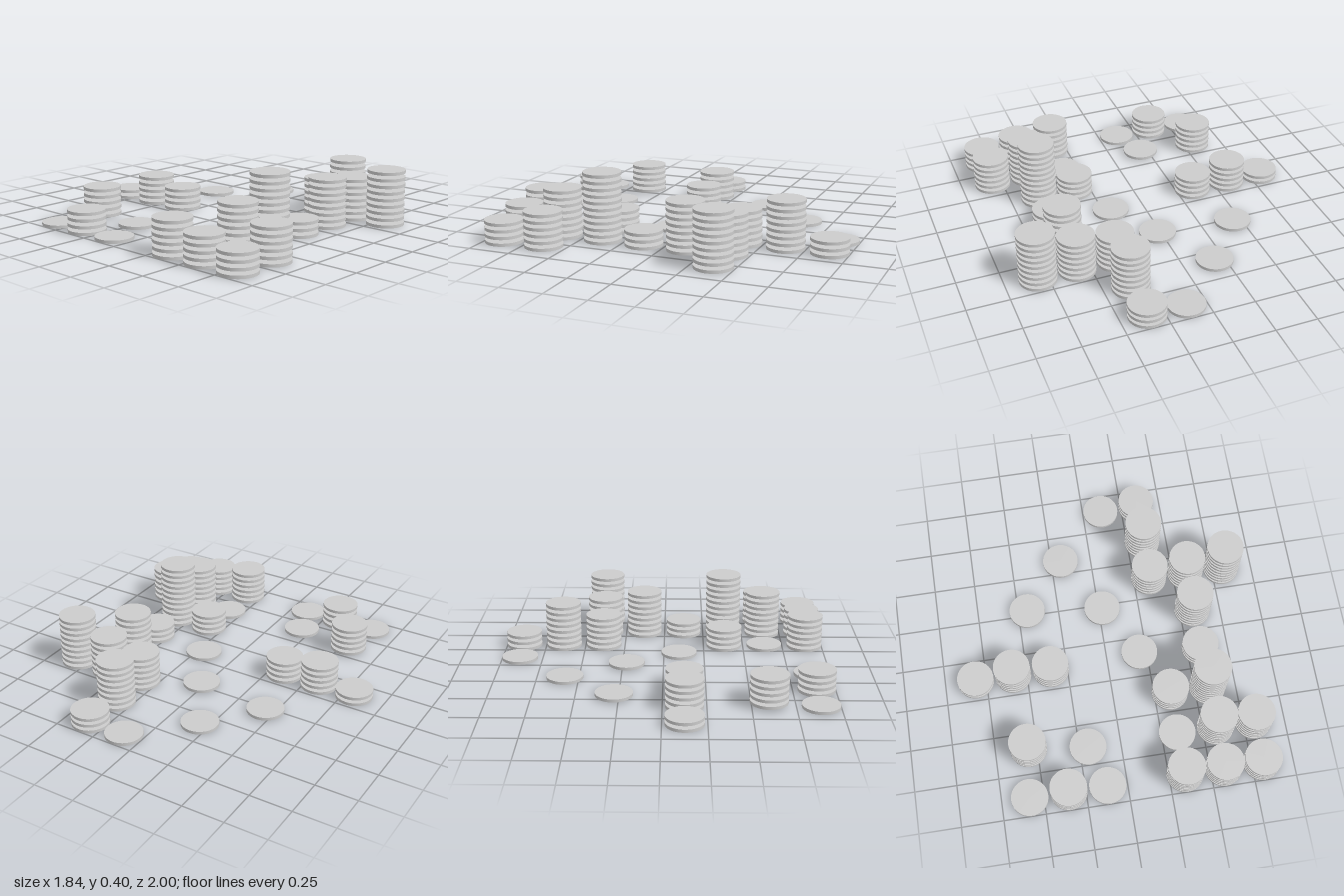
import * as THREE from 'three';

const RADIUS = 0.11, THICK = 0.018, PITCH = 0.0385;

export function createModel() {
  const model = new THREE.Group();
  const material = new THREE.MeshStandardMaterial({ color: 0xcccccc });
  const disc = new THREE.CylinderGeometry(RADIUS, RADIUS, THICK, 48);
  disc.translate(0, THICK / 2, 0);

  // A column of evenly spaced discs
  function addStack(name, x, z, count, lift = 0) {
    const stack = new THREE.Group();
    stack.name = name;
    for (let i = 0; i < count; i++) {
      const mesh = new THREE.Mesh(disc, material);
      mesh.name = 'disc';
      mesh.position.y = i * PITCH;
      stack.add(mesh);
    }
    stack.position.set(x, lift, z);
    model.add(stack);
  }

  // Stacks in straight rows: z, then pairs of x and disc count
  const rows = [
    [-0.89, [0.115, 1], [0.345, 3]],
    [-0.637, [0.345, 8]],
    [-0.383, [0.345, 6], [0.577, 7], [0.808, 9]],
    [-0.13, [0.577, 8]],
    [0.125, [-0.813, 2], [-0.583, 5], [-0.35, 4], [0.577, 3]],
    [0.38, [0.345, 4], [0.577, 11]],
    [0.635, [0.345, 1], [0.577, 8], [0.808, 6]],
    [0.89, [-0.583, 1], [-0.35, 4], [-0.118, 1], [0.345, 6], [0.577, 5], [0.808, 4]],
  ];
  for (const [z, ...stacks] of rows)
    for (const [x, count] of stacks) addStack('rowStack', x, z, count);

  // Loose discs and one stack off the grid: x, z, count, height off the ground
  const loose = [
    [-0.19, -0.583, 1, 0.001],
    [-0.443, -0.278, 1, 0.005],
    [0.022, -0.225, 1, 0.005],
    [0.205, 0.095, 1, 0],
    [-0.55, 0.6, 5, 0.014],
    [-0.198, 0.643, 1, 0.014],
  ];
  for (const [x, z, count, lift] of loose) addStack('looseStack', x, z, count, lift);

  return model;
}
